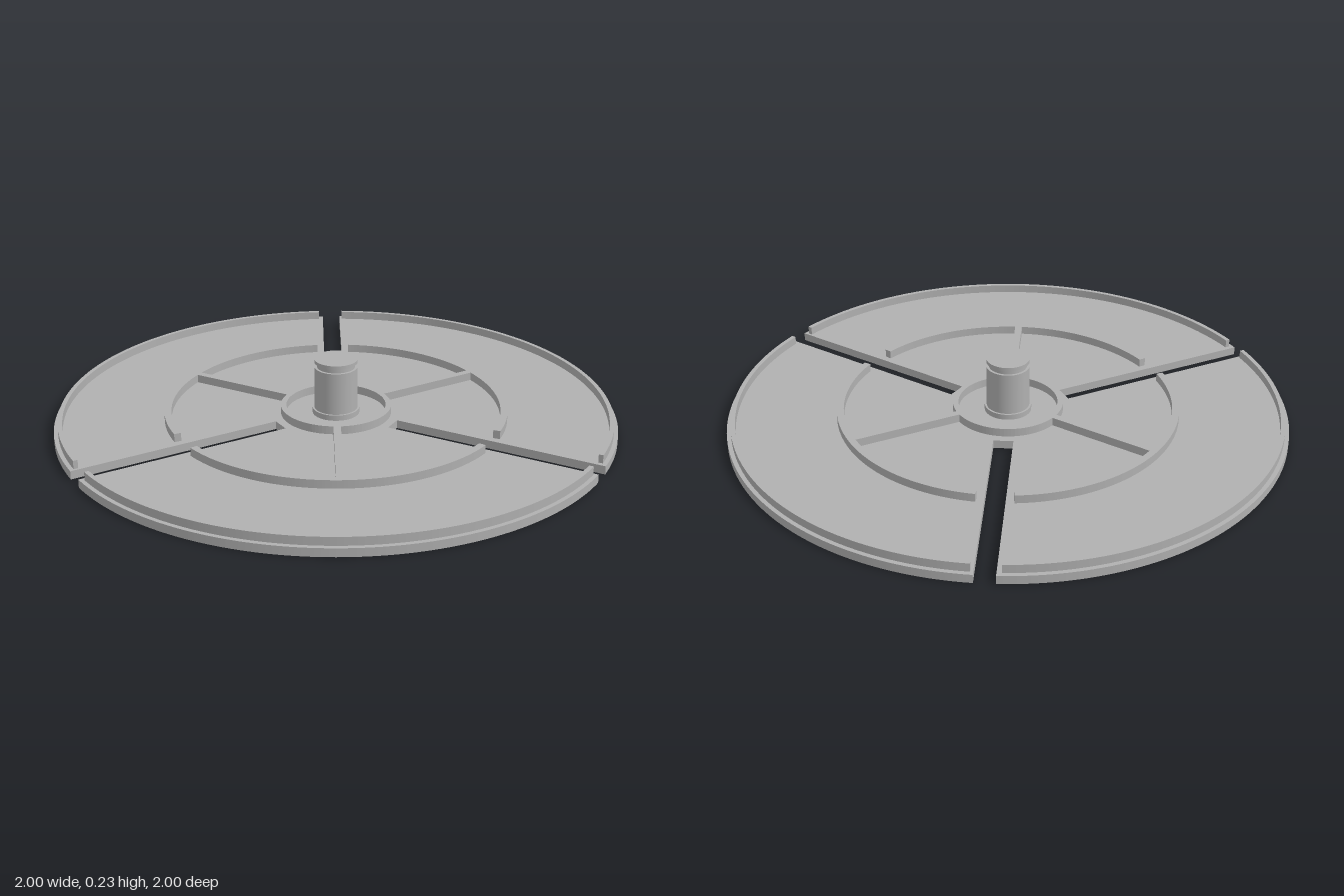
import * as THREE from 'three';

const DEG = Math.PI / 180;
const SLOTS = [67.7, 187.7, 307.7].map((a) => a * DEG); // slot directions, counter-clockwise from +x seen from above
const THIRD = 120 * DEG;
const FLOOR = 0.03; // top of the plate
const TOP = 0.06;   // top of the ribs

// Extrude a plan shape upwards from y0 to y1
function slab(shape, y0, y1) {
  const g = new THREE.ExtrudeGeometry(shape, { depth: y1 - y0, bevelEnabled: false, curveSegments: 48 });
  return g.rotateX(-Math.PI / 2).translate(0, y0, 0);
}

// Curved bar between two radii and two angles
function arcShape(inner, outer, a0, a1) {
  const s = new THREE.Shape();
  s.absarc(0, 0, outer, a0, a1, false);
  s.absarc(0, 0, inner, a1, a0, true);
  s.closePath();
  return s;
}

// Round plate with three parallel-sided slots open at the edge
function plateShape(radius, half, slotInner) {
  const s = new THREE.Shape();
  const edge = Math.asin(half / radius);
  SLOTS.forEach((a, i) => {
    const c = Math.cos(a), n = Math.sin(a);
    const p = (r, w) => [r * c - w * n, r * n + w * c];
    const rEdge = Math.sqrt(radius * radius - half * half);
    if (i === 0) s.moveTo(...p(rEdge, -half));
    s.lineTo(...p(slotInner, -half));
    s.lineTo(...p(slotInner, half));
    s.lineTo(...p(rEdge, half));
    s.absarc(0, 0, radius, a + edge, a + THIRD - edge, false);
  });
  return s;
}

export function createModel() {
  const model = new THREE.Group();
  model.name = 'slottedDisc';
  const grey = new THREE.MeshStandardMaterial({ color: 0xb0b0b0 });
  grey.name = 'grey';
  const add = (name, geometry) => {
    const m = new THREE.Mesh(geometry, grey);
    m.name = name;
    model.add(m);
    return m;
  };

  add('plate', slab(plateShape(1, 0.035, 0.228), 0, FLOOR));

  // Raised rim, inner ring and spoke in each third
  SLOTS.forEach((a) => {
    add('rim', slab(arcShape(0.969, 0.985, a + 3 * DEG, a + THIRD - 2.6 * DEG), FLOOR, TOP));
    add('innerRing', slab(arcShape(0.588, 0.613, a + 6 * DEG, a + THIRD - 5.9 * DEG), FLOOR, TOP));
    const spoke = add('spoke', new THREE.BoxGeometry(0.402, TOP - FLOOR, 0.026).translate(0.39, (FLOOR + TOP) / 2, 0));
    spoke.rotation.y = a + THIRD / 2;
  });

  // Ring around the hub
  const hub = new THREE.Shape().absarc(0, 0, 0.198, 0, Math.PI * 2, false);
  hub.holes.push(new THREE.Path().absarc(0, 0, 0.178, 0, Math.PI * 2, true));
  add('hubRing', slab(hub, FLOOR, TOP));

  // Central shaft: collar, post, groove and cap
  const shaft = [
    ['shaftCollar', 0.084, FLOOR, 0.05],
    ['shaftPost', 0.077, 0.05, 0.205],
    ['shaftGroove', 0.068, 0.205, 0.222],
    ['shaftCap', 0.077, 0.222, 0.235],
  ];
  for (const [name, r, y0, y1] of shaft) {
    add(name, new THREE.CylinderGeometry(r, r, y1 - y0, 48).translate(0, (y0 + y1) / 2, 0));
  }

  return model;
}
